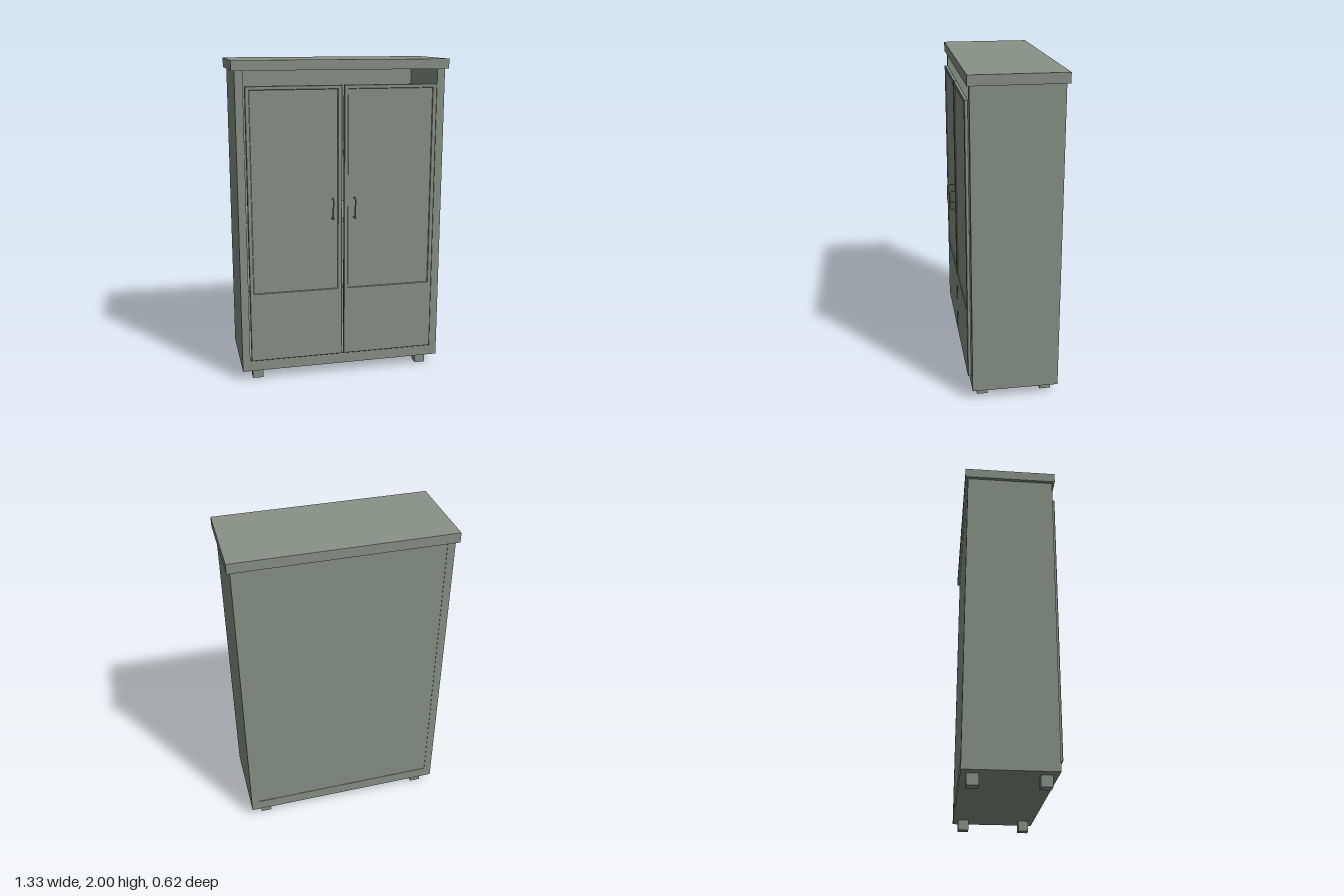
import * as THREE from 'three';

export function createModel() {
  const group = new THREE.Group();
  group.name = 'wardrobe';
  const paint = new THREE.MeshStandardMaterial({ color: 0x879286 });
  paint.name = 'sage green paint';
  const metal = new THREE.MeshStandardMaterial({ color: 0x7f827f });
  metal.name = 'grey metal';

  function add(name, geometry, material = paint, parent = group) {
    const mesh = new THREE.Mesh(geometry, material);
    mesh.name = name;
    parent.add(mesh);
    return mesh;
  }

  // Box given by its extents on each axis
  function box(name, [x0, x1], [y0, y1], [z0, z1], material, parent) {
    const mesh = add(name, new THREE.BoxGeometry(x1 - x0, y1 - y0, z1 - z0), material, parent);
    mesh.position.set((x0 + x1) / 2, (y0 + y1) / 2, (z0 + z1) / 2);
    return mesh;
  }

  // Open-fronted carcass
  box('topBoard', [-0.663, 0.663], [1.94, 2], [-0.307, 0.255]);
  box('bottomBoard', [-0.595, 0.595], [0.065, 0.135], [-0.29, 0.24]);
  box('backPanel', [-0.595, 0.595], [0.135, 1.94], [-0.287, -0.27]);
  for (const y of [0.58, 1.017, 1.44]) {
    box('shelf', [-0.595, 0.595], [y - 0.012, y + 0.012], [-0.27, 0.22]);
  }

  // Door outline with a rectangular opening, extruded with a small bevel
  function rect(target, x0, x1, y0, y1) {
    target.moveTo(x0, y0);
    target.lineTo(x1, y0);
    target.lineTo(x1, y1);
    target.lineTo(x0, y1);
    target.closePath();
    return target;
  }
  const b = 0.003;
  const frameShape = rect(new THREE.Shape(), 0.006 + b, 0.588 - b, 0.14 + b, 1.852 - b);
  frameShape.holes.push(rect(new THREE.Path(), 0.032 - b, 0.56 + b, 0.585 - b, 1.828 + b));
  const frameGeometry = new THREE.ExtrudeGeometry(frameShape, {
    depth: 0.016, bevelEnabled: true, bevelThickness: b, bevelSize: b, bevelSegments: 1,
  });

  // Bow handle: two posts joined by a slim grip
  const handlePath = new THREE.CatmullRomCurve3([
    [0.07, 1.166, 0.262], [0.07, 1.166, 0.295], [0.069, 1.155, 0.304],
    [0.067, 1.105, 0.304], [0.067, 1.055, 0.304], [0.067, 1.044, 0.295], [0.067, 1.044, 0.262],
  ].map((p) => new THREE.Vector3(...p)), false, 'catmullrom', 0.3);
  const handleGeometry = new THREE.TubeGeometry(handlePath, 32, 0.0045, 8);
  const knuckleGeometry = new THREE.SphereGeometry(0.007, 12, 8);

  for (const s of [-1, 1]) {
    const side = s < 0 ? 'right' : 'left';
    const span = (a, c) => (s < 0 ? [-c, -a] : [a, c]);

    box(side + 'SidePanel', span(0.595, 0.643), [0.065, 1.94], [-0.29, 0.24]);
    for (const z of [[-0.258, -0.19], [0.14, 0.206]]) {
      box(side + 'Foot', span(0.51, 0.577), [0, 0.065], z);
    }

    const door = new THREE.Group();
    door.name = side + 'Door';
    group.add(door);
    const frame = add('doorFrame', frameGeometry, paint, door);
    frame.position.set(s < 0 ? -0.594 : 0, 0, 0.243);
    box('doorPanel', span(0.025, 0.567), [0.575, 1.838], [0.243, 0.256], paint, door);
    for (const y of [0.58, 1.017, 1.44]) {
      box('hinge', span(0.583, 0.596), [y - 0.015, y + 0.015], [0.225, 0.243], paint, door);
    }

    const handle = new THREE.Group();
    handle.name = side + 'Handle';
    door.add(handle);
    add('grip', handleGeometry, metal, handle);
    for (const y of [1.163, 1.047]) {
      add('knuckle', knuckleGeometry, metal, handle).position.set(0.068, y, 0.302);
    }
    if (s < 0) handle.position.x = -0.138;
  }

  return group;
}
